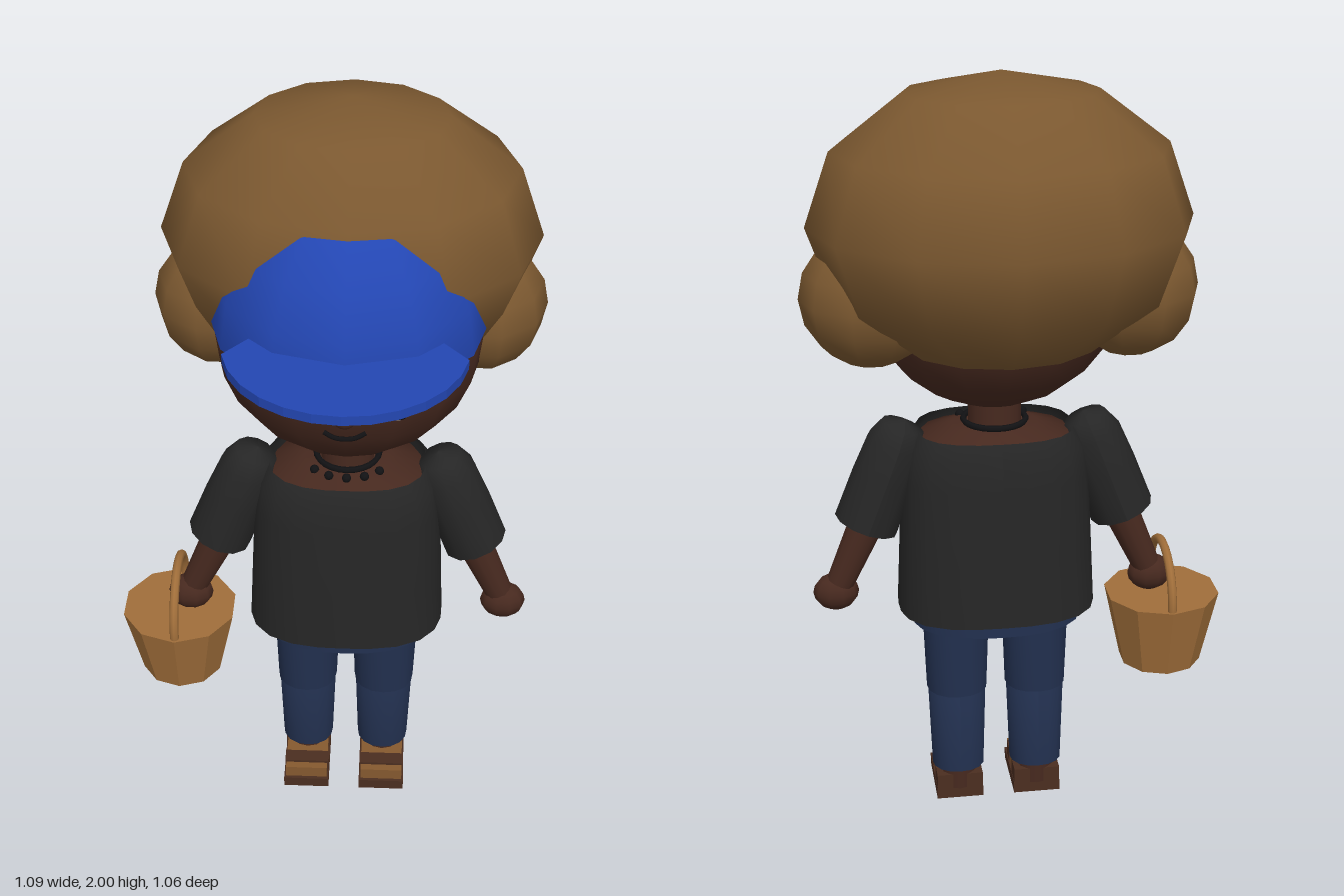
import * as THREE from 'three';

const paint = (name, color, side = THREE.FrontSide) => {
  const m = new THREE.MeshStandardMaterial({ color, side });
  m.name = name;
  return m;
};

export function createModel() {
  const model = new THREE.Group();
  model.name = 'childWithBasket';
  const body = new THREE.Group();
  body.name = 'body';
  body.position.x = 0.057;
  model.add(body);

  const D = THREE.DoubleSide;
  const skin = paint('skin', 0x47291f, D);
  const hair = paint('hair', 0x7b5830);
  const blue = paint('capBlue', 0x2346b2, D);
  const cloth = paint('shirtBlack', 0x262626, D);
  const denim = paint('denim', 0x22304f, D);
  const wicker = paint('wicker', 0xa06e3a);
  const leather = paint('shoeBrown', 0x4b2e20);
  const tan = paint('shoeTan', 0x85592f);
  const white = paint('eyeWhite', 0xe4e4e4);
  const black = paint('black', 0x121214);

  const add = (name, geo, mat, x = 0, y = 0, z = 0, parent = body) => {
    const mesh = new THREE.Mesh(geo, mat);
    mesh.name = name;
    mesh.position.set(x, y, z);
    parent.add(mesh);
    return mesh;
  };
  const ball = (rx, ry, rz, w = 12, h = 8) =>
    new THREE.SphereGeometry(1, w, h).scale(rx, ry, rz);
  const box = (w, h, d) => new THREE.BoxGeometry(w, h, d);
  // Revolved profile of [radius, y], squared off by exponent n and flattened in z
  const lathe = (profile, depth = 1, n = 2, sides = 20) => {
    const pts = profile.map(([r, y]) => new THREE.Vector2(r, y));
    const g = new THREE.LatheGeometry(pts, sides, Math.PI);
    const p = g.attributes.position;
    for (let i = 0; i < p.count; i++) {
      const x = p.getX(i), z = p.getZ(i), r = Math.hypot(x, z);
      if (r < 1e-6) continue; // points on the axis stay put
      const k = Math.pow(Math.abs(x / r) ** n + Math.abs(z / r) ** n, -1 / n);
      p.setX(i, x * k);
      p.setZ(i, z * k * depth);
    }
    g.computeVertexNormals();
    return g;
  };

  // Head
  add('head', ball(0.332, 0.332, 0.29, 16, 12), skin, 0, 1.467, 0);
  add('nose', ball(0.028, 0.025, 0.027), skin, 0, 1.4, 0.295);
  const smile = new THREE.CatmullRomCurve3([[-0.05, 1.342, 0.269], [-0.025, 1.329, 0.273],
    [0, 1.326, 0.274], [0.025, 1.329, 0.273], [0.05, 1.342, 0.269]].map(a => new THREE.Vector3(...a)));
  add('mouth', new THREE.TubeGeometry(smile, 12, 0.006, 5), black);
  for (const s of [-1, 1]) {
    const eye = new THREE.Group();
    eye.name = s > 0 ? 'leftEye' : 'rightEye';
    eye.position.set(s * 0.127, 1.43, 0.262);
    eye.rotation.set(0.06, s * 0.3, 0);
    body.add(eye);
    add('eyeWhite', ball(0.037, 0.056, 0.016, 20, 10), white, 0, 0, 0, eye);
    add('pupil', ball(0.029, 0.047, 0.008, 20, 10), black, 0, 0, 0.012, eye);
    add('glint', ball(0.009, 0.013, 0.004, 10, 6), white, -0.006, 0.022, 0.018, eye);
  }

  // Hair: a large faceted mass with a flat underside, and a puff on each side
  const mass = new THREE.SphereGeometry(1, 12, 6).scale(0.465, 0.355, 0.383);
  const mp = mass.attributes.position;
  for (let i = 0; i < mp.count; i++) mp.setY(i, Math.max(mp.getY(i), -0.308));
  add('hair', mass, hair, 0, 1.645, -0.147);
  for (const s of [-1, 1])
    add(s > 0 ? 'leftHairPuff' : 'rightHairPuff', ball(0.172, 0.17, 0.178, 10, 8), hair, s * 0.315, 1.467, -0.13);

  // Cap
  const dome = new THREE.SphereGeometry(1, 12, 5, 0, Math.PI * 2, 0, Math.PI / 2).scale(0.342, 0.372, 0.34);
  add('capDome', dome, blue, 0, 1.5, 0);
  const brim = new THREE.Shape();
  brim.moveTo(-0.2, 0.2);
  for (let i = 0; i <= 12; i++) {
    const a = Math.PI - 0.18 - (i / 12) * (Math.PI - 0.36);
    brim.lineTo(0.285 * Math.cos(a), 0.245 + 0.285 * Math.sin(a));
  }
  brim.lineTo(0.2, 0.2);
  brim.closePath();
  const brimGeo = new THREE.ExtrudeGeometry(brim, { depth: 0.024, bevelEnabled: false }).rotateX(Math.PI / 2);
  add('capBrim', brimGeo, blue, 0, 1.57, 0);

  // Neck, chest and necklace
  add('neck', new THREE.CylinderGeometry(0.068, 0.068, 0.16, 14), skin, 0, 1.12, 0);
  add('chest', lathe([[0.225, 0.98], [0.19, 1.055], [0.11, 1.08], [0, 1.085]], 0.74, 2.4), skin);
  add('choker', new THREE.TorusGeometry(0.08, 0.008, 6, 24).rotateX(Math.PI / 2), black, 0, 1.09, 0);
  for (let i = -2; i <= 2; i++) {
    const a = i * 0.42;
    add('bead', ball(0.012, 0.012, 0.012, 8, 6), black, Math.sin(a) * 0.11, 1.08, Math.cos(a) * 0.1);
  }

  // Shirt
  add('shirt', lathe([[0.258, 0.58], [0.25, 0.75], [0.24, 0.95], [0.228, 1.03], [0.2, 1.072]], 0.72, 2.7, 24), cloth);

  // Arms
  for (const s of [-1, 1]) {
    const arm = new THREE.Group();
    arm.name = s > 0 ? 'leftArm' : 'rightArm';
    arm.position.set(s * 0.245, 1.055, 0);
    arm.rotation.z = s * 0.365;
    body.add(arm);
    add('sleeve', lathe([[0.085, -0.255], [0.083, -0.12], [0.077, -0.02], [0.055, 0.03], [0, 0.045]], 1.02, 2, 12), cloth, 0, 0, 0, arm);
    const fore = new THREE.Group();
    fore.name = s > 0 ? 'leftForearm' : 'rightForearm';
    fore.position.set(s * 0.3, 0.89, 0.005);
    fore.rotation.z = s * 0.42;
    body.add(fore);
    add('forearm', new THREE.CylinderGeometry(0.052, 0.037, 0.27, 12), skin, 0, -0.13, 0.004, fore);
    add(s > 0 ? 'leftHand' : 'rightHand', ball(0.06, 0.05, 0.046, 10, 8), skin, s * 0.42, 0.62, 0.013);
  }

  // Waist
  add('waistband', lathe([[0.224, 0.54], [0.222, 0.62]], 0.72, 2.4, 24), denim);
  add('hips', lathe([[0, 0.545], [0.21, 0.55], [0.21, 0.62]], 0.72, 2.4, 24), skin);

  // Legs and shoes
  for (const s of [-1, 1]) {
    const leg = new THREE.Group();
    leg.name = s > 0 ? 'leftLeg' : 'rightLeg';
    leg.position.x = s * 0.106;
    body.add(leg);
    add('upperTrouser', lathe([[0.081, 0.325], [0.09, 0.58]], 0.98, 2.2, 16), denim, 0, 0, 0.002, leg);
    const shin = lathe([[0.07, -0.235], [0.078, 0], [0, 0.005]], 0.98, 2.2, 16);
    add('lowerTrouser', shin, denim, 0, 0.327, 0, leg).rotation.x = 0.04;
    add('ankle', new THREE.CylinderGeometry(0.05, 0.05, 0.1, 12), skin, 0, 0.08, -0.01, leg);
    add('sole', box(0.126, 0.03, 0.19), leather, 0, 0.015, 0.04, leg);
    add('shoeSide', box(0.116, 0.036, 0.172), tan, 0, 0.046, 0.04, leg);
    add('heel', box(0.124, 0.045, 0.062), leather, 0, 0.05, -0.024, leg);
    add('toeStrap', box(0.122, 0.042, 0.04), leather, 0, 0.05, 0.085, leg);
  }

  // Basket with hoop handle, hanging from the right hand
  const basket = new THREE.Group();
  basket.name = 'basket';
  basket.position.set(-0.397, 0.565, 0.011);
  model.add(basket);
  const pail = new THREE.CylinderGeometry(0.155, 0.11, 0.202, 10).toNonIndexed();
  pail.computeVertexNormals();
  add('basketBody', pail, wicker, 0, -0.101, 0, basket);
  add('basketHandle', new THREE.TorusGeometry(0.138, 0.012, 8, 16, Math.PI).rotateY(Math.PI / 2), wicker, 0, 0, 0, basket);

  return model;
}
